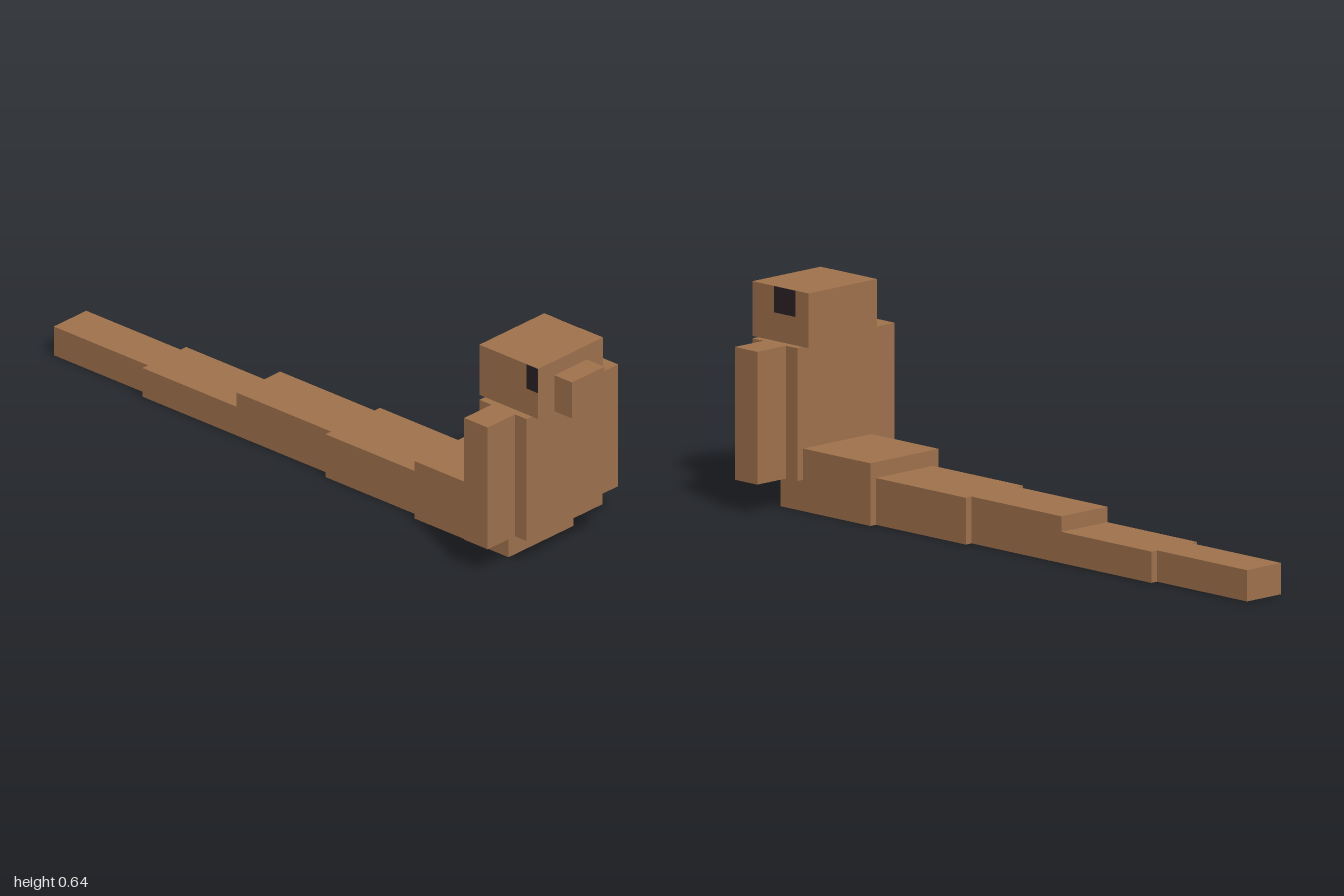
import * as THREE from 'three';

export function createModel() {
  const model = new THREE.Group();
  model.name = 'figure';

  const brown = new THREE.MeshStandardMaterial({ color: 0xa0724d });
  brown.name = 'brown';
  const belly = new THREE.MeshStandardMaterial({ color: 0x92836f });
  belly.name = 'greyBelly';
  const black = new THREE.MeshStandardMaterial({ color: 0x2a2124 });
  black.name = 'eyeBlack';

  // Box given by its minimum and maximum corners
  function box(name, [x0, y0, z0], [x1, y1, z1], material = brown) {
    const mesh = new THREE.Mesh(new THREE.BoxGeometry(x1 - x0, y1 - y0, z1 - z0), material);
    mesh.position.set((x0 + x1) / 2, (y0 + y1) / 2, (z0 + z1) / 2);
    mesh.name = name;
    model.add(mesh);
    return mesh;
  }

  // Head and snout
  box('head', [-0.136, 0.477, 0.705], [0.136, 0.636, 0.932]);
  box('snout', [-0.068, 0.477, 0.932], [0.068, 0.591, 1]);

  // Eyes: thin plates on the sides of the head
  box('leftEye', [0.135, 0.56, 0.757], [0.138, 0.636, 0.842], black);
  box('rightEye', [-0.138, 0.56, 0.89], [-0.135, 0.636, 0.932], black);

  // Upright torso with straight arms
  box('torso', [-0.159, 0.091, 0.727], [0.159, 0.477, 0.909]);
  box('leftArm', [0.159, 0.091, 0.773], [0.273, 0.477, 0.864]);
  box('rightArm', [-0.273, 0.091, 0.773], [-0.159, 0.477, 0.864]);

  // Tail segments, front to back: half width, height, front z, back z
  const skin = [brown, brown, brown, belly, brown, brown];
  [
    [0.136, 0.182, 0.818, 0.455],
    [0.114, 0.136, 0.455, 0.091],
    [0.091, 0.136, 0.091, -0.273],
    [0.091, 0.091, -0.273, -0.636],
    [0.068, 0.091, -0.636, -1],
  ].forEach(([w, h, front, back], i) => {
    box(`tailSegment${i + 1}`, [-w, 0, back], [w, h, front], skin);
  });

  return model;
}
